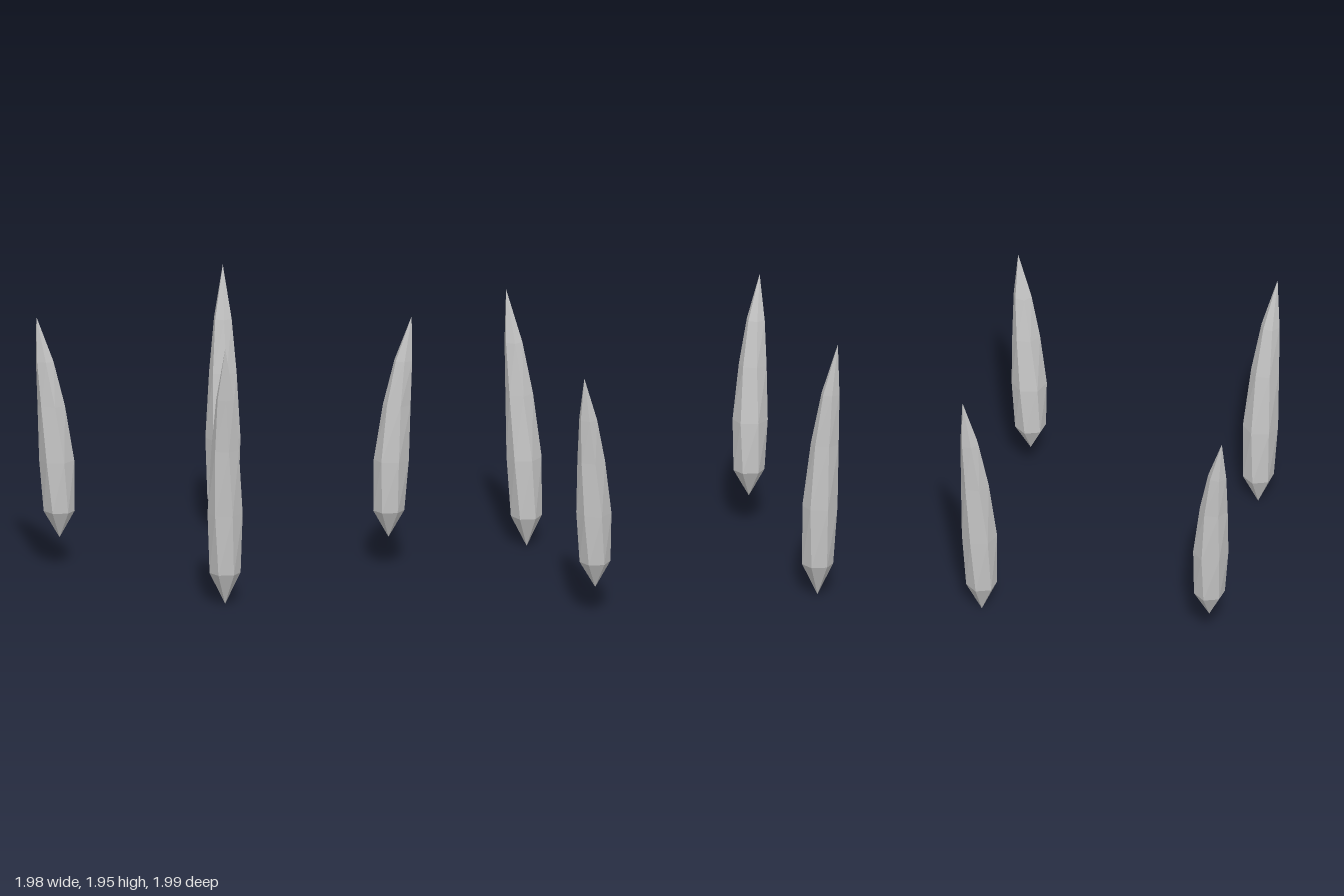
import * as THREE from 'three';

const stone = new THREE.MeshStandardMaterial({ color: 0xc5c5c5 });
stone.name = 'light grey stone';

const SIDES = 6;
// height fraction and radius of each cross-section, tip to tip
const RINGS = [[0, 0], [0.12, 0.114], [0.35, 0.129], [0.6, 0.104], [0.8, 0.07], [1, 0]];

// Twisted hexagonal shard, rising from a bottom tip and curving outwards along (sx, sz);
// corners are not shared, so every facet is flat
function shardGeometry(height, sx, sz) {
  const point = (i, j) => {
    const [t, r] = RINGS[i];
    const angle = (j / SIDES) * Math.PI * 2 + 0.1 + 0.7 * t;
    const lean = 0.12 * t * t;
    return [sx * lean + r * Math.cos(angle), t * height, sz * lean + r * Math.sin(angle)];
  };
  const positions = [];
  for (let i = 0; i < RINGS.length - 1; i++) {
    for (let j = 0; j < SIDES; j++) {
      const a = point(i, j), b = point(i, j + 1);
      const c = point(i + 1, j + 1), d = point(i + 1, j);
      if (RINGS[i][1] > 0) positions.push(...a, ...d, ...b);
      if (RINGS[i + 1][1] > 0) positions.push(...b, ...d, ...c);
    }
  }
  const geometry = new THREE.BufferGeometry();
  geometry.setAttribute('position', new THREE.Float32BufferAttribute(positions, 3));
  geometry.computeVertexNormals();
  return geometry;
}

export function createModel() {
  const model = new THREE.Group();
  model.name = 'floatingShards';

  // Tall pair on one diagonal, shorter raised pair on the other
  for (const sx of [1, -1]) {
    for (const sz of [1, -1]) {
      const tall = sx === sz;
      const shard = new THREE.Mesh(shardGeometry(tall ? 1.95 : 1.655, sx, sz), stone);
      shard.name = (tall ? 'tall' : 'short') + 'Shard' + (sz > 0 ? 'Front' : 'Back') + (sx > 0 ? 'Left' : 'Right');
      shard.position.set(sx * 0.85, tall ? 0 : 0.222, sz * 0.85);
      model.add(shard);
    }
  }
  return model;
}
